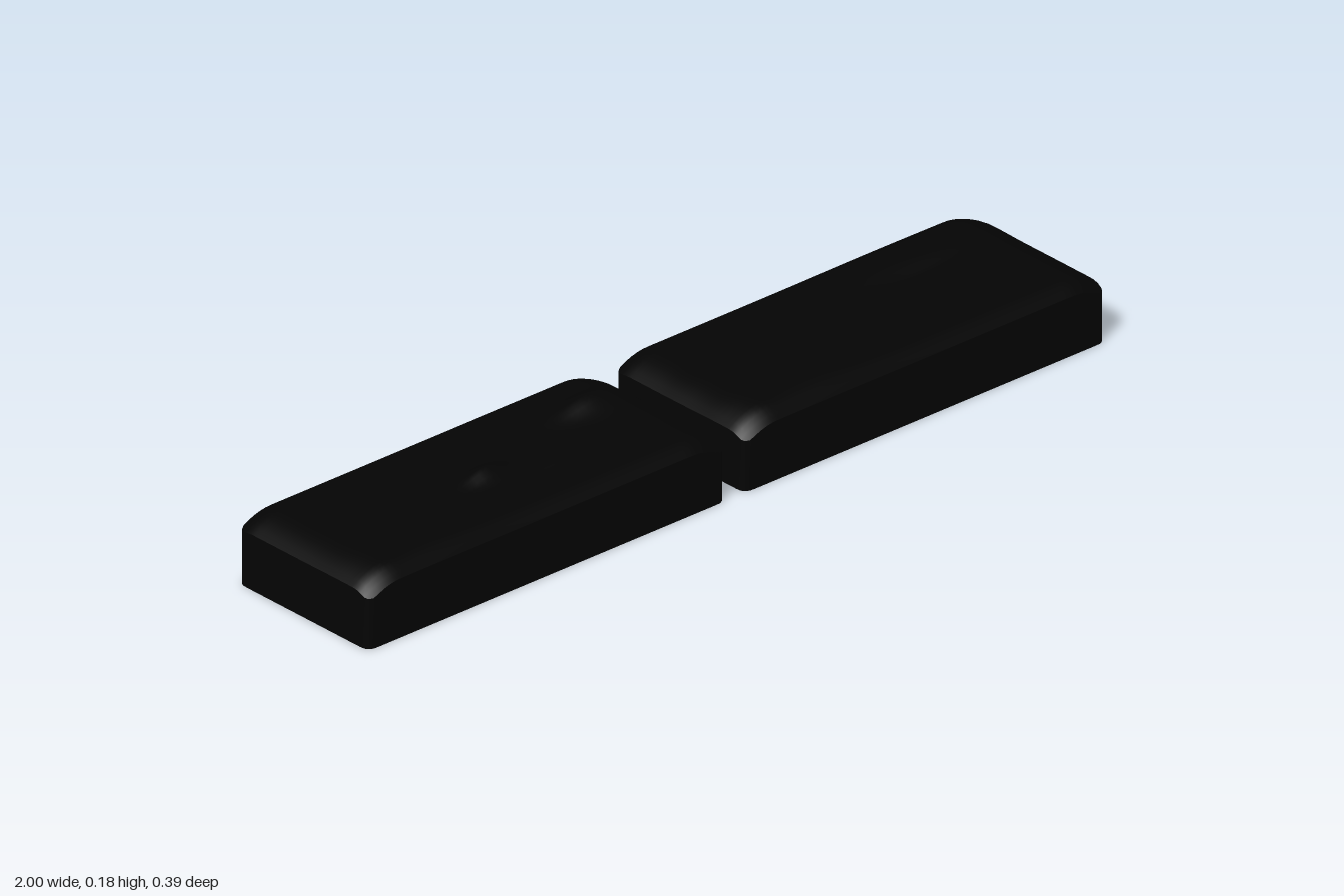
import * as THREE from 'three';

const WALL = 0.006, DEPTH = 0.394;

// Each bump: [x, z, height, spread in x, spread in z]
const BLOCKS = [
  {
    name: 'rightStone', x0: -1, x1: -0.03,
    bumps: [
      [-0.16, -0.07, 0.028, 0.09, 0.04], [-0.52, 0.015, 0.022, 0.06, 0.03],
      [-0.77, 0.1, 0.008, 0.14, 0.06], [-0.35, -0.1, 0.008, 0.1, 0.05],
      [-0.42, 0.08, -0.01, 0.12, 0.03], [-0.2, 0.06, -0.008, 0.1, 0.04],
      [-0.75, -0.07, -0.008, 0.1, 0.04],
    ],
  },
  {
    name: 'leftStone', x0: 0.02, x1: 1,
    bumps: [
      [0.27, 0.11, 0.011, 0.16, 0.05], [0.72, -0.13, 0.009, 0.2, 0.05],
      [0.62, 0.06, 0.008, 0.18, 0.05], [0.7, -0.06, -0.012, 0.14, 0.025],
      [0.25, -0.06, -0.008, 0.12, 0.04],
    ],
  },
];

// Height of the worn top: a plateau with bumps that falls off towards the rim
function topHeight(block, x, z) {
  let y = 0.157;
  for (const [bx, bz, h, sx, sz] of block.bumps) {
    y += h * Math.exp(-(((x - bx) / sx) ** 2) - ((z - bz) / sz) ** 2);
  }
  const fall = (d, reach, drop) => drop * Math.max(0, 1 - d / reach) ** 2;
  y -= fall(Math.min(x - block.x0, block.x1 - x), 0.09, 0.03);
  y -= fall(DEPTH / 2 - z, 0.045, 0.022);
  y -= fall(DEPTH / 2 + z, 0.045, 0.01);
  return y;
}

// Open-bottomed shell, inset from the block's outline
function shell(block, inset) {
  const w = block.x1 - block.x0 - 2 * inset, d = DEPTH - 2 * inset;
  const cx = (block.x0 + block.x1) / 2, r = 0.02;
  const geo = new THREE.BoxGeometry(w, 1, d, 64, 1, 32);
  const bottom = geo.groups[3];
  const index = Array.from(geo.index.array);
  index.splice(bottom.start, bottom.count);
  geo.setIndex(index);
  geo.clearGroups();
  const p = geo.attributes.position;
  for (let i = 0; i < p.count; i++) {
    let x = p.getX(i), z = p.getZ(i);
    // round the vertical corners
    const ox = Math.abs(x) - (w / 2 - r), oz = Math.abs(z) - (d / 2 - r);
    if (ox > 0 && oz > 0) {
      const k = Math.max(ox, oz) / Math.hypot(ox, oz);
      x = Math.sign(x) * (w / 2 - r + ox * k);
      z = Math.sign(z) * (d / 2 - r + oz * k);
    }
    const y = p.getY(i) > 0 ? topHeight(block, x + cx, z) - inset : 0;
    p.setXYZ(i, x + cx, y, z);
  }
  geo.computeVertexNormals();
  return geo;
}

export function createModel() {
  const model = new THREE.Group();
  model.name = 'stonePair';
  const dark = new THREE.MeshStandardMaterial({ color: 0x040404, side: THREE.DoubleSide });
  const tan = new THREE.MeshStandardMaterial({ color: 0x84765f, side: THREE.DoubleSide });

  for (const block of BLOCKS) {
    const stone = new THREE.Group();
    stone.name = block.name;
    // dark outer skin and tan inner shell
    for (const [name, inset, material] of [['outerSkin', 0, dark], ['innerShell', WALL, tan]]) {
      const mesh = new THREE.Mesh(shell(block, inset), material);
      mesh.name = name;
      stone.add(mesh);
    }
    model.add(stone);
  }
  return model;
}
